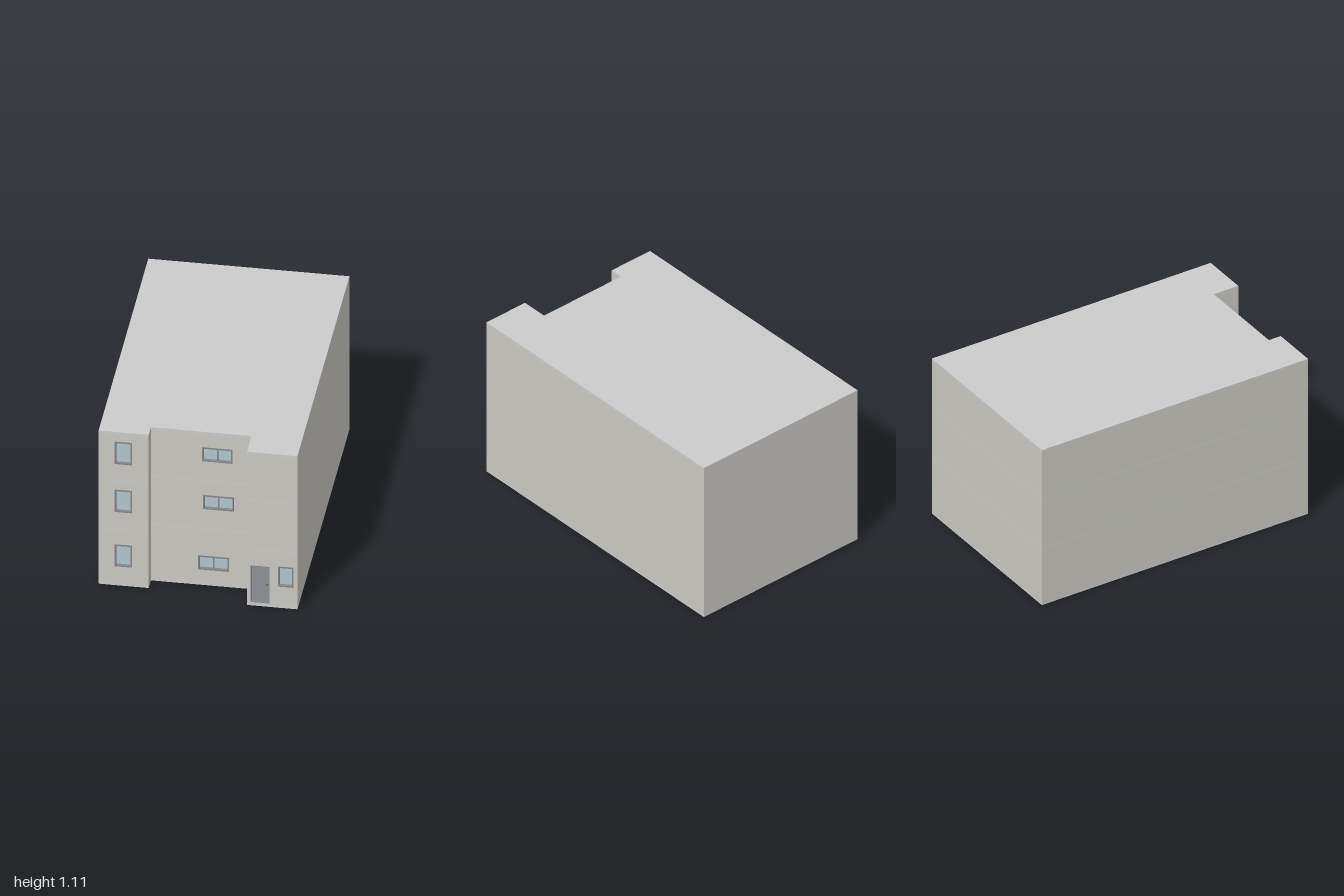
import * as THREE from 'three';

const material = (color) => new THREE.MeshStandardMaterial({ color });
const wallMat = material(0xcbc9c3), slabMat = material(0xbebfbf), frameMat = material(0x85888b);
const glassMat = material(0xb4c4cd), doorMat = material(0x8f9296), handleMat = material(0x44474a);

const HALF = 0.614, BACK = -1, REVEAL = 0.025, PROUD = 0.003;

// Three facade bays: two projecting wings and a recessed middle
const bays = [
  { name: 'leftBay', x0: -HALF, x1: -0.308, z: 0.907 },
  { name: 'middleBay', x0: -0.308, x1: 0.306, z: 0.822 },
  { name: 'rightBay', x0: 0.306, x1: HALF, z: 0.997 },
];
const slabs = [[0, 0.02], [0.395, 0.415], [0.745, 0.765], [1.085, 1.105]];

// Openings: bay, x range, y range, kind
const openings = [
  ...[[0.138, 0.295], [0.53, 0.69], [0.876, 1.036]].map(([y0, y1]) =>
    ({ bay: 0, x0: -0.515, x1: -0.41, y0, y1, kind: 'window' })),
  ...[[-0.019, 0.112], [0.011, 0.55], [0.004, 0.894]].map(([x0, y0]) =>
    ({ bay: 1, x0, x1: x0 + 0.187, y0, y1: y0 + 0.1, kind: 'doubleWindow' })),
  { bay: 2, x0: 0.495, x1: 0.59, y0: 0.154, y1: 0.298, kind: 'window' },
  { bay: 2, x0: 0.327, x1: 0.444, y0: 0.024, y1: 0.288, kind: 'door' },
];

function rectangle(x0, x1, y0, y1, Type = THREE.Shape) {
  return new Type([[x0, y0], [x1, y0], [x1, y1], [x0, y1]].map((p) => new THREE.Vector2(...p)));
}

function addMesh(parent, name, geometry, mat) {
  const mesh = new THREE.Mesh(geometry, mat);
  mesh.name = name;
  parent.add(mesh);
  return mesh;
}

function box(parent, name, x0, x1, y0, y1, z0, z1, mat) {
  const mesh = addMesh(parent, name, new THREE.BoxGeometry(x1 - x0, y1 - y0, z1 - z0), mat);
  mesh.position.set((x0 + x1) / 2, (y0 + y1) / 2, (z0 + z1) / 2);
}

// Plan of the building, its front set back by inset, raised from y0 to y1
function raisePlan(inset, y0, y1) {
  const points = [new THREE.Vector2(-HALF, -BACK), new THREE.Vector2(-HALF, inset - bays[0].z)];
  bays.forEach((b, i) => {
    if (i) points.push(new THREE.Vector2(b.x0, inset - b.z));
    points.push(new THREE.Vector2(b.x1, inset - b.z));
  });
  points.push(new THREE.Vector2(HALF, -BACK));
  const geo = new THREE.ExtrudeGeometry(new THREE.Shape(points), { depth: y1 - y0, bevelEnabled: false });
  return geo.rotateX(-Math.PI / 2).translate(0, y0, 0);
}

function extrude(shape, z0, z1) {
  return new THREE.ExtrudeGeometry(shape, { depth: z1 - z0, bevelEnabled: false }).translate(0, 0, z0);
}

// Frame with its pane or door leaf, set into the reveal
function addOpening(parent, o) {
  const group = new THREE.Group();
  group.name = o.kind;
  parent.add(group);
  const z = bays[o.bay].z, isDoor = o.kind === 'door';
  const back = z - REVEAL, t = isDoor ? 0.004 : 0.009;
  const ring = rectangle(o.x0, o.x1, o.y0, o.y1);
  ring.holes.push(rectangle(o.x0 + t, o.x1 - t, o.y0 + t, o.y1 - t, THREE.Path));
  addMesh(group, 'frame', extrude(ring, back, isDoor ? z : z + PROUD), frameMat);
  box(group, isDoor ? 'doorLeaf' : 'glass', o.x0 + t, o.x1 - t, o.y0 + t, o.y1 - t,
    back, back + 0.009, isDoor ? doorMat : glassMat);
  if (o.kind === 'doubleWindow') {
    const c = (o.x0 + o.x1) / 2;
    box(group, 'mullion', c - 0.004, c + 0.004, o.y0 + t, o.y1 - t, back, z - 0.006, frameMat);
  }
  if (isDoor) {
    const knob = addMesh(group, 'doorHandle', new THREE.SphereGeometry(0.005, 12, 8), handleMat);
    knob.position.set(o.x1 - 0.016, 0.15, back + 0.012);
  }
}

export function createModel() {
  const model = new THREE.Group();
  model.name = 'building';

  // Floor slabs and roof, flush with the walls
  slabs.forEach(([y0, y1], i) => addMesh(model, i === 3 ? 'roofSlab' : 'floorSlab', raisePlan(0, y0, y1), slabMat));

  // Storeys: a solid core faced with pierced facade panels
  for (let s = 0; s < 3; s++) {
    const y0 = slabs[s][1], y1 = slabs[s + 1][0];
    const storey = new THREE.Group();
    storey.name = 'storey';
    model.add(storey);
    addMesh(storey, 'walls', raisePlan(REVEAL, y0, y1), wallMat);
    bays.forEach((b, i) => {
      const panel = rectangle(b.x0, b.x1, y0, y1);
      const own = openings.filter((o) => o.bay === i && o.y0 > y0 && o.y1 < y1);
      own.forEach((o) => panel.holes.push(rectangle(o.x0, o.x1, o.y0, o.y1, THREE.Path)));
      addMesh(storey, b.name, extrude(panel, b.z - REVEAL, b.z), wallMat);
      own.forEach((o) => addOpening(storey, o));
    });
  }
  return model;
}
